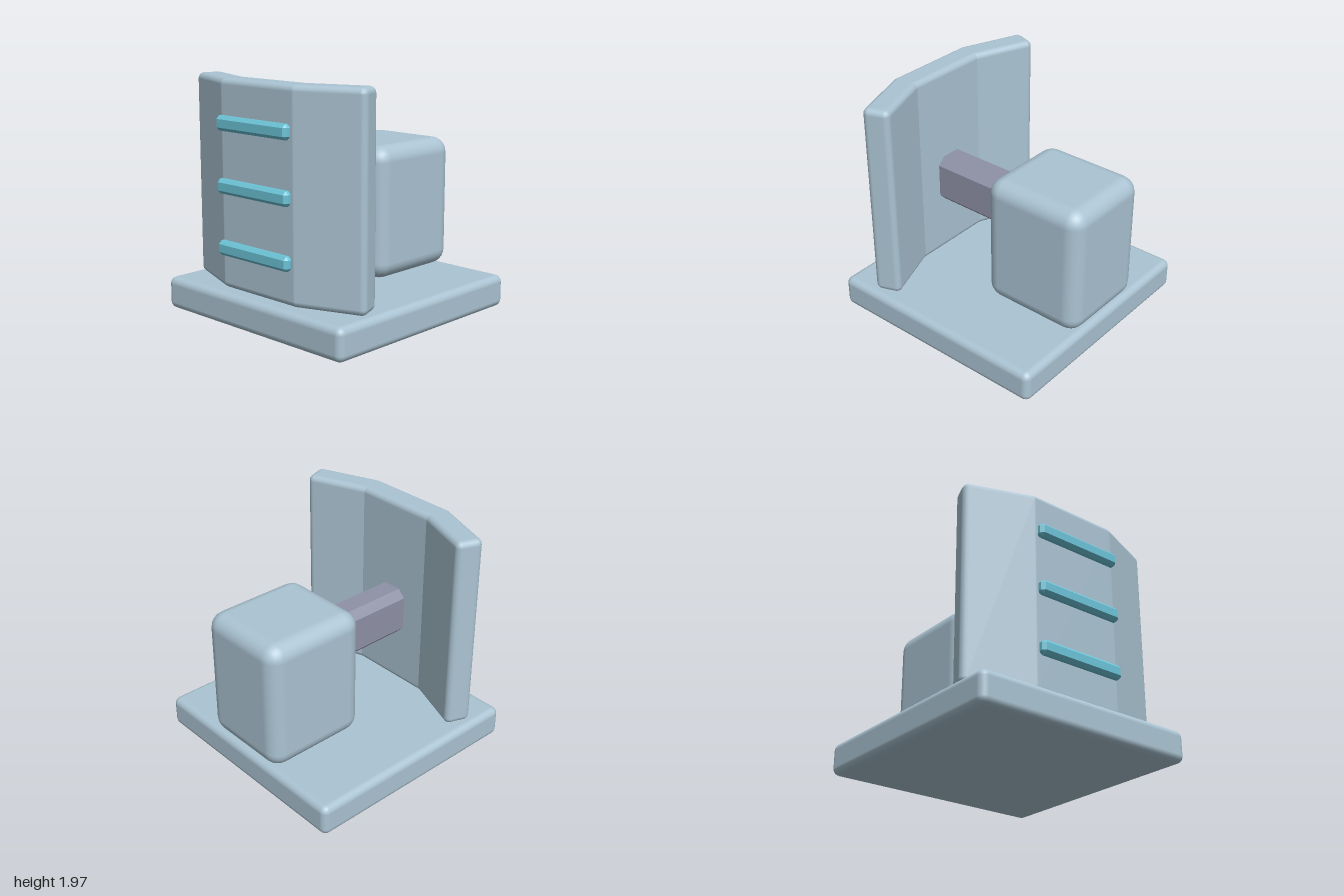
import * as THREE from 'three';
import { RoundedBoxGeometry } from 'three/addons/geometries/RoundedBoxGeometry.js';
import { ConvexGeometry } from 'three/addons/geometries/ConvexGeometry.js';

const material = (name, color) => {
  const m = new THREE.MeshStandardMaterial({ color });
  m.name = name;
  return m;
};

// Box with flat chamfers of size c on every edge
function chamferBox(w, h, d, c) {
  const pts = [];
  for (const x of [-w / 2, w / 2]) for (const y of [-h / 2, h / 2]) for (const z of [-d / 2, d / 2]) {
    const sx = Math.sign(x) * c, sy = Math.sign(y) * c, sz = Math.sign(z) * c;
    pts.push(new THREE.Vector3(x, y - sy, z - sz), new THREE.Vector3(x - sx, y, z - sz), new THREE.Vector3(x - sx, y - sy, z));
  }
  return new ConvexGeometry(pts);
}

// Upright slab: a plan outline [x, z] swept from y0 to y1, swelled by a rounding radius r
function roundedSlab(plan, y0, y1, r, steps = 4) {
  const count = plan.length;
  const edgeNormal = (i) => {
    const [ax, az] = plan[(i + count) % count], [bx, bz] = plan[(i + 1) % count];
    return Math.atan2(-(bx - ax), bz - az); // angle of the outward normal in x, z
  };
  // Rim of plan points, each with an offset and a normal
  const rim = [];
  plan.forEach(([x, z], i) => {
    const a = edgeNormal(i - 1);
    let turn = edgeNormal(i) - a;
    turn = Math.atan2(Math.sin(turn), Math.cos(turn));
    if (turn > 0) {
      for (let k = 0; k <= steps; k++) {
        const t = a + (turn * k) / steps;
        const n = [Math.cos(t), Math.sin(t)];
        rim.push({ x, z, o: n, n });
      }
    } else {
      // Inner bend: mitred and sharp
      const m = a + turn / 2, s = 1 / Math.cos(turn / 2);
      const o = [Math.cos(m) * s, Math.sin(m) * s];
      for (const t of [a, a + turn]) rim.push({ x, z, o, n: [Math.cos(t), Math.sin(t)] });
    }
  });
  const position = [], normal = [], index = [];
  const rows = [];
  for (let k = 0; k <= steps; k++) rows.push([y0 + r, -Math.PI / 2 + (Math.PI / 2) * k / steps]);
  for (let k = 0; k <= steps; k++) rows.push([y1 - r, (Math.PI / 2) * k / steps]);
  for (const [y, t] of rows) for (const p of rim) {
    const c = Math.cos(t), s = Math.sin(t);
    position.push(p.x + p.o[0] * r * c, y + r * s, p.z + p.o[1] * r * c);
    normal.push(p.n[0] * c, s, p.n[1] * c);
  }
  const n = rim.length;
  for (let j = 0; j < rows.length - 1; j++) for (let i = 0; i < n; i++) {
    const a = j * n + i, b = j * n + (i + 1) % n;
    index.push(a, a + n, b, b, a + n, b + n);
  }
  // Flat ends
  const faces = THREE.ShapeUtils.triangulateShape(plan.map(([x, z]) => new THREE.Vector2(x, z)), []);
  for (const [y, up] of [[y0, -1], [y1, 1]]) {
    const base = position.length / 3;
    for (const [x, z] of plan) {
      position.push(x, y, z);
      normal.push(0, up, 0);
    }
    for (const [a, b, c] of faces) {
      if (up > 0) index.push(base + a, base + c, base + b);
      else index.push(base + a, base + b, base + c);
    }
  }
  const g = new THREE.BufferGeometry();
  g.setAttribute('position', new THREE.Float32BufferAttribute(position, 3));
  g.setAttribute('normal', new THREE.Float32BufferAttribute(normal, 3));
  g.setIndex(index);
  return g;
}

export function createModel() {
  const group = new THREE.Group();
  const body = material('pale blue grey', 0xabc4d3);
  const metal = material('violet grey', 0x8f91a6);
  const accent = material('teal', 0x6cc4d8);

  const add = (name, geometry, mat, x, y, z) => {
    const mesh = new THREE.Mesh(geometry, mat);
    mesh.name = name;
    mesh.position.set(x, y, z);
    group.add(mesh);
  };

  // Base plate and rear block
  add('basePlate', new RoundedBoxGeometry(2, 0.27, 2, 3, 0.06), body, 0, 0.135, 0);
  add('rearBlock', new RoundedBoxGeometry(0.84, 1.12, 0.92, 3, 0.135), body, 0, 0.83, -0.54);

  // Arm joining the block to the panel
  add('arm', chamferBox(0.295, 0.42, 0.96, 0.065), metal, 0, 0.97, 0.24);

  // Panel with both wings swept back
  const half = [[0.369, 0.705], [0.841, 0.53], [0.885, 0.647], [0.391, 0.83]];
  const plan = [...half, ...half.map(([x, z]) => [-x, z]).reverse()];
  add('frontPanel', roundedSlab(plan, 0.27, 1.965, 0.05), body, 0, 0, 0);

  // Three bars on the panel
  for (const y of [0.62, 1.12, 1.62]) {
    add('panelBar', chamferBox(0.8, 0.12, 0.08, 0.027), accent, 0, y, 0.917);
  }
  return group;
}
